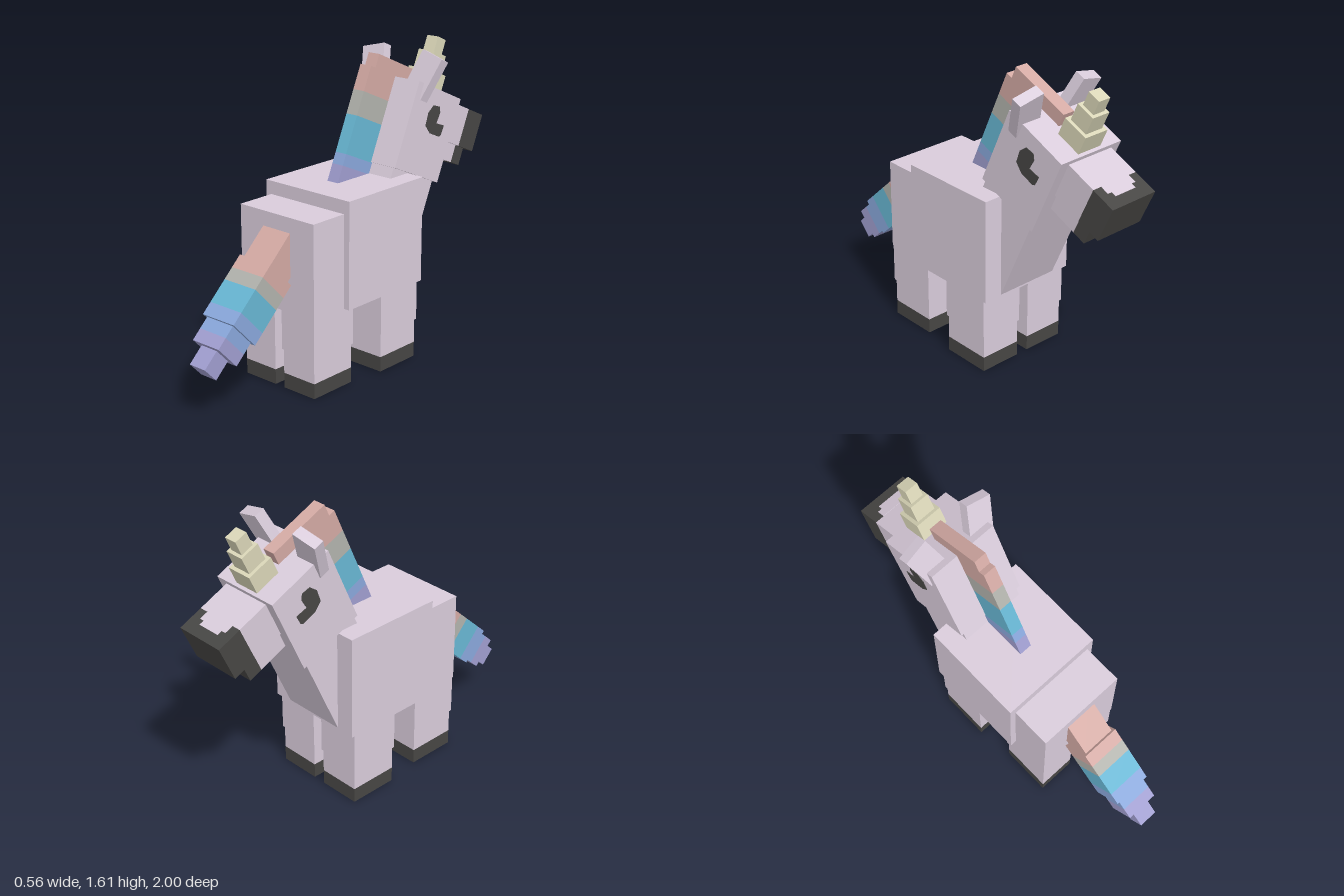
import * as THREE from 'three';

const mat = (name, color) => {
  const m = new THREE.MeshStandardMaterial({ color });
  m.name = name;
  return m;
};

export function createModel() {
  const coat = mat('pale lilac coat', 0xd9ccdb);
  const dark = mat('charcoal', 0x474644);
  const ivory = mat('ivory horn', 0xdad6b8);
  const pink = mat('dusty pink hair', 0xd4aaa4);
  const grey = mat('grey hair', 0xb2b3ad);
  const cyan = mat('cyan hair', 0x68b7d4);
  const blue = mat('soft blue hair', 0x8aa8dc);
  const violet = mat('violet hair', 0xa09ed0);
  const model = new THREE.Group();
  model.name = 'hornedPony';

  const group = (name, y, z, tilt) => {
    const g = new THREE.Group();
    g.name = name;
    g.position.set(0, y, z);
    g.rotation.x = tilt;
    model.add(g);
    return g;
  };

  // Box given by its [min, max] on each axis
  const box = (parent, name, material, [x0, x1], [y0, y1], [z0, z1]) => {
    const m = new THREE.Mesh(new THREE.BoxGeometry(x1 - x0, y1 - y0, z1 - z0), material);
    m.position.set((x0 + x1) / 2, (y0 + y1) / 2, (z0 + z1) / 2);
    m.name = name;
    parent.add(m);
    return m;
  };
  const sym = (w) => [-w, w];

  // Body
  box(model, 'chest', coat, sym(0.28), [0.42, 0.98], [-0.31, 0.25]);
  box(model, 'hindquarters', coat, sym(0.245), [0.42, 0.91], [0.2, 0.465]);

  // Legs with dark hooves
  const legs = [['front', 0.035, 0.265, -0.28, -0.01], ['hind', 0.03, 0.235, 0.185, 0.455]];
  for (const [name, x0, x1, z0, z1] of legs) {
    for (const s of [-1, 1]) {
      const span = (a, b) => (s > 0 ? [a, b] : [-b, -a]);
      box(model, name + 'UpperLeg', coat, span(x0 - 0.006, x1 + 0.007), [0.21, 0.42], [z0 - 0.007, z1 + 0.007]);
      box(model, name + 'LowerLeg', coat, span(x0, x1), [0.08, 0.21], [z0, z1]);
      box(model, name + 'Hoof', dark, span(x0, x1), [0, 0.08], [z0, z1]);
    }
  }

  // Head and neck, pitched forward toward -z
  const head = group('headAndNeck', 1.167, -0.458, -0.419);
  box(head, 'skull', coat, sym(0.195), [-0.2275, 0.2275], [-0.19, 0.19]);
  box(head, 'neck', coat, sym(0.178), [-0.74, -0.2], [-0.165, 0.18]);

  // Muzzle and jaw with dark tips
  box(head, 'muzzle', coat, sym(0.14), [0, 0.205], [-0.362, -0.18]);
  box(head, 'muzzleTip', dark, sym(0.14), [0, 0.205], [-0.497, -0.362]);
  box(head, 'noseBridge', coat, sym(0.09), [0.203, 0.207], [-0.41, -0.362]);
  box(head, 'noseBridgeEnd', coat, sym(0.065), [0.203, 0.207], [-0.437, -0.41]);
  box(head, 'jaw', coat, sym(0.125), [-0.095, 0], [-0.355, -0.18]);
  box(head, 'jawTip', dark, sym(0.125), [-0.095, 0], [-0.43, -0.355]);

  // Eyes: thin L-shaped plates on both cheeks (forward, up)
  const eyeShape = new THREE.Shape([
    [-0.022, 0.142], [0.028, 0.147], [0.046, 0.12], [0.039, 0.06], [0.106, 0.065],
    [0.103, 0.01], [0.09, 0.0], [0.01, 0.0], [-0.042, 0.028], [-0.048, 0.096],
  ].map(([f, u]) => new THREE.Vector2(f, u)));
  for (const s of [-1, 1]) {
    const geo = new THREE.ExtrudeGeometry(eyeShape, { depth: 0.004, bevelEnabled: false });
    const eye = new THREE.Mesh(geo, dark);
    eye.name = s > 0 ? 'leftEye' : 'rightEye';
    eye.rotation.y = Math.PI / 2;
    eye.position.x = s > 0 ? 0.194 : -0.198;
    head.add(eye);
  }

  // Ears splayed outward
  for (const s of [-1, 1]) {
    const ear = box(head, s > 0 ? 'leftEar' : 'rightEar', coat, sym(0.069), sym(0.115), sym(0.029));
    ear.position.set(s * 0.165, 0.268, 0.12);
    ear.rotation.z = -s * 0.27;
  }

  // Horn in three shrinking steps
  [[0.072, 0.2, 0.33], [0.053, 0.33, 0.43], [0.036, 0.43, 0.512]].forEach(([w, y0, y1], i) =>
    box(head, 'hornStep' + (i + 1), ivory, sym(w), [y0, y1], [-0.1 - w, -0.1 + w]));

  // Mane: crest on top, banded strip down the back of the head
  box(head, 'maneCrest', pink, sym(0.035), [0.2275, 0.3], [0.01, 0.361]);
  [[pink, 0.0965, 0.229], [grey, -0.03, 0.0965], [cyan, -0.23, -0.03], [blue, -0.29, -0.23],
    [violet, -0.42, -0.29]].forEach(([m, y0, y1]) =>
    box(head, 'maneBand', m, sym(0.035), [y0, y1], [0.15, 0.398]));

  // Tail: colour bands along a drooping axis [material, half width, half height, start, end]
  const tail = group('tail', 0.645, 0.5435, 0.75);
  [[pink, 0.09, 0.083, -0.25, 0], [pink, 0.105, 0.1, 0, 0.075], [grey, 0.105, 0.1, 0.075, 0.145],
    [cyan, 0.105, 0.1, 0.145, 0.275], [blue, 0.105, 0.1, 0.275, 0.345],
    [blue, 0.088, 0.083, 0.345, 0.41], [violet, 0.088, 0.083, 0.41, 0.476],
    [violet, 0.052, 0.051, 0.476, 0.583]].forEach(([m, w, h, z0, z1]) =>
    box(tail, 'tailBand', m, sym(w), sym(h), [z0, z1]));

  return model;
}
